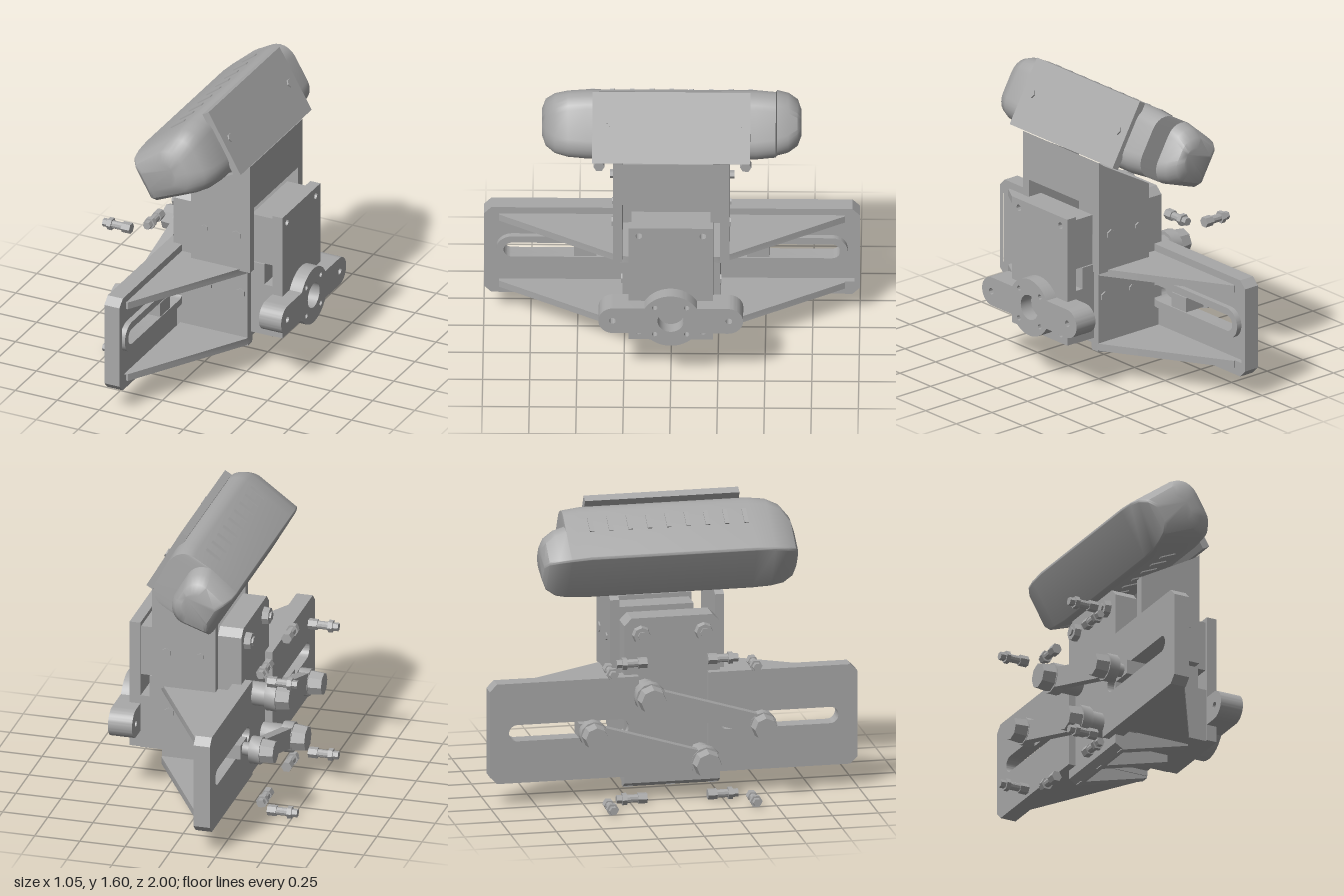
import * as THREE from 'three';
import { toCreasedNormals } from 'three/addons/utils/BufferGeometryUtils.js';

const grey = new THREE.MeshStandardMaterial({ color: 0xa8a8a8 });
grey.name = 'machine grey';

export function createModel() {
  const model = new THREE.Group();
  model.name = 'bracketAssembly';

  const add = (name, geometry, parent = model) => {
    const mesh = new THREE.Mesh(toCreasedNormals(geometry, 0.6), grey);
    mesh.name = name;
    parent.add(mesh);
    return mesh;
  };
  // Box given by its limits on each axis
  const box = (name, x0, x1, y0, y1, z0, z1, parent) => {
    const g = new THREE.BoxGeometry(x1 - x0, y1 - y0, z1 - z0);
    g.translate((x0 + x1) / 2, (y0 + y1) / 2, (z0 + z1) / 2);
    return add(name, g, parent);
  };
  const polygon = pts => new THREE.Shape(pts.map(p => new THREE.Vector2(...p)));
  const extrude = (shape, depth) => new THREE.ExtrudeGeometry(shape, { depth, bevelEnabled: false, curveSegments: 16 });
  // Outline in (x, y), pushed along z
  const alongZ = (name, pts, z0, z1) => add(name, extrude(polygon(pts), z1 - z0).translate(0, 0, z0));
  // Outline in (-z, y), pushed along x
  const alongX = (name, shape, x0, x1) => add(name, extrude(shape, x1 - x0).rotateY(Math.PI / 2).translate(x0, 0, 0));
  // Outline in (x, z), pushed up along y
  const alongY = (name, pts, y0, y1) =>
    add(name, extrude(polygon(pts.map(([x, z]) => [x, -z])), y1 - y0).rotateX(-Math.PI / 2).translate(0, y0, 0));
  const rod = (name, r0, r1, x0, x1, y, z, sides = 16, parent = model) =>
    add(name, new THREE.CylinderGeometry(r1, r0, x1 - x0, sides).rotateZ(-Math.PI / 2).translate((x0 + x1) / 2, y, z), parent);
  const chamfered = (w, y0, y1, c) => polygon([[-w + c, y0], [w - c, y0], [w, y0 + c], [w, y1 - c],
    [w - c, y1], [-w + c, y1], [-w, y1 - c], [-w, y0 + c]]);
  const circle = (a, b, r) => new THREE.Path().absarc(a, b, r, 0, Math.PI * 2, true);
  const stadium = (Type, a0, a1, b, r) => {
    const s = new Type();
    s.absarc(a1, b, r, -Math.PI / 2, Math.PI / 2, false);
    s.absarc(a0, b, r, Math.PI / 2, Math.PI * 1.5, false);
    s.closePath();
    return s;
  };

  // Wing plates either side of the core: slotted web, raised border and slot rim
  for (const s of [-1, 1]) {
    const a = [s * 0.29, s * 0.85].sort((p, q) => p - q);
    const outline = () => polygon([[0.19, 0.13], [0.96, 0.13], [1, 0.17], [1, 0.64], [0.96, 0.68], [0.19, 0.68]]
      .map(([p, y]) => [s * p, y]));
    const web = outline();
    web.holes.push(stadium(THREE.Path, ...a, 0.405, 0.045));
    alongX('wingWeb', web, -0.22, -0.16);
    const border = outline();
    border.holes.push(polygon([[0.21, 0.21], [0.97, 0.21], [0.97, 0.6], [0.21, 0.6]].map(([p, y]) => [s * p, y])));
    alongX('wingBorder', border, -0.16, -0.13);
    const rim = stadium(THREE.Shape, ...a, 0.405, 0.085);
    rim.holes.push(stadium(THREE.Path, ...a, 0.405, 0.045));
    alongX('slotRim', rim, -0.16, -0.13);
  }

  // Tapering ribs from the plates to the core
  for (const s of [-1, 1]) for (const y of [0.17, 0.6]) {
    alongY('plateRib', [[-0.14, s * 0.2], [-0.14, s * 0.92], [-0.12, s * 0.92], [0.26, s * 0.27], [0.26, s * 0.2]], y, y + 0.04);
  }

  // Central core and chamfered front block
  box('core', -0.14, 0.26, 0.2, 0.63, -0.26, 0.26);
  alongX('frontBlock', chamfered(0.26, 0.13, 0.99, 0.04), -0.18, -0.05);
  for (const z of [-0.17, 0.17]) {
    rod('blockScrew', 0.045, 0.05, -0.215, -0.18, 0.9, z, 8);
    rod('blockScrewBoss', 0.025, 0.025, -0.225, -0.2, 0.9, z, 6);
  }

  // Hollow foot: bevelled front wall with sloping side and middle ribs
  alongZ('footWall', [[-0.18, 0.21], [-0.18, 0.08], [-0.13, 0.05], [-0.11, 0.056], [-0.11, 0.21]], -0.26, 0.26);
  const footRib = [[-0.14, 0.22], [-0.14, 0.05], [0.26, 0.16], [0.26, 0.25]];
  for (const z of [-0.23, 0, 0.23]) alongZ('footRib', footRib, z - 0.025, z + 0.025);

  // Upright bracket: two cheeks and a rear web
  const cheek = [[-0.05, 0.63], [0.3, 0.63], [0.3, 1.265], [0.26, 1.235], [-0.05, 1.06]];
  alongZ('bracketCheek', cheek, 0.26, 0.31);
  alongZ('bracketCheek', cheek, -0.31, -0.26);
  alongZ('bracketWeb', [[0.26, 1], [0.3, 1], [0.3, 1.265], [0.26, 1.235]], -0.26, 0.26);
  for (const s of [-1, 1]) for (const [x, r] of [[0.03, 0.02], [0.22, 0.028]]) for (const [y, z] of [[0.84, 0.31], [0.47, 0.26]]) {
    add('sideScrew', new THREE.CylinderGeometry(r, r, 0.016, 6).rotateX(Math.PI / 2).translate(x, y, s * z));
  }

  // Rear drive unit: spacers and cover plate with corner holes
  box('lowerSpacer', 0.26, 0.39, 0.23, 0.53, -0.22, 0.22);
  box('middleSpacer', 0.26, 0.34, 0.53, 0.65, -0.22, 0.22);
  box('upperSpacer', 0.26, 0.39, 0.65, 0.93, -0.21, 0.21);
  const cover = polygon([[-0.225, 0.235], [0.225, 0.235], [0.225, 0.955], [-0.225, 0.955]]);
  for (const a of [-0.17, 0.17]) for (const y of [0.285, 0.905]) cover.holes.push(circle(a, y, 0.018));
  alongX('coverPlate', cover, 0.39, 0.45);

  // Two-armed flange with a centre bore
  const flange = new THREE.Shape();
  const join = Math.asin(0.08 / 0.16);
  flange.absarc(0.305, 0.405, 0.08, -Math.PI / 2, Math.PI / 2, false);
  flange.absarc(0, 0.405, 0.16, join, Math.PI - join, false);
  flange.absarc(-0.305, 0.405, 0.08, Math.PI / 2, Math.PI * 1.5, false);
  flange.absarc(0, 0.405, 0.16, Math.PI + join, Math.PI * 2 - join, false);
  flange.closePath();
  flange.holes.push(circle(0, 0.405, 0.07));
  for (const s of [-1, 1]) {
    flange.holes.push(circle(s * 0.31, 0.405, 0.018));
    for (const t of [-1, 1]) flange.holes.push(circle(s * 0.085, 0.405 + t * 0.085, 0.014));
  }
  alongX('flange', flange, 0.39, 0.523);

  // Crank links: pivot knob on the core, slider knob in the slot
  for (const s of [-1, 1]) {
    const ends = [[0.405 + s * 0.185, -s * 0.15, 0.084, 0.065], [0.405, s * 0.46, 0.075, 0.036]];
    ends.forEach(([y, z, r, shaft], i) => {
      rod('linkEye', r, r, -0.355, -0.295, y, z, 12);
      rod('knob', r * 0.82, r * 0.92, -0.428, -0.355, y, z, 8);
      rod('pivotShaft', shaft, shaft, -0.295, i ? -0.24 : -0.17, y, z, 12);
    });
    box('sliderFoot', -0.25, -0.13, 0.365, 0.445, s * 0.46 - 0.06, s * 0.46 + 0.06);
    const [[y0, z0], [y1, z1]] = ends;
    const bar = add('linkBar', new THREE.BoxGeometry(0.055, 0.11, Math.hypot(y1 - y0, z1 - z0)));
    bar.position.set(-0.325, (y0 + y1) / 2, (z0 + z1) / 2);
    bar.rotation.x = -Math.atan2(y1 - y0, z1 - z0);
  }

  // Loose bolts: one along x and one along z at each corner
  const bolt = () => {
    const g = new THREE.Group();
    g.name = 'bolt';
    rod('boltHead', 0.023, 0.023, -0.08, -0.05, 0, 0, 6, g);
    rod('boltCollar', 0.034, 0.034, -0.05, -0.025, 0, 0, 6, g);
    rod('boltShank', 0.022, 0.022, -0.025, 0.035, 0, 0, 10, g);
    rod('boltNut', 0.03, 0.03, 0.035, 0.085, 0, 0, 6, g);
    model.add(g);
    return g;
  };
  for (const s of [-1, 1]) for (const y of [0.032, 0.78]) {
    bolt().position.set(-0.45, y, s * 0.39);
    const cross = bolt();
    cross.position.set(-0.305, y, s * 0.25);
    cross.rotation.y = s * Math.PI / 2;
  }

  // Tilted head: backing plate and rounded pod
  const head = new THREE.Group();
  head.name = 'tiltedHead';
  head.rotation.z = Math.PI / 6;
  model.add(head);
  box('backingPlate', 0.853, 0.895, 0.95, 1.333, -0.42, 0.42, head);
  for (const z of [-0.35, 0.35]) rod('plateScrew', 0.024, 0.024, 0.87, 0.903, 1.145, z, 6, head);

  // Pod sections: z, inner limit, outer limit, half height
  const sections = [[-0.69, 0.51, 0.68, 0.07], [-0.67, 0.485, 0.71, 0.125], [-0.62, 0.465, 0.73, 0.16],
    [-0.56, 0.46, 0.74, 0.175], [-0.555, 0.46, 0.86, 0.175], [-0.45, 0.46, 0.868, 0.185], [0.45, 0.46, 0.868, 0.185],
    [0.55, 0.46, 0.86, 0.177], [0.62, 0.465, 0.83, 0.16], [0.67, 0.485, 0.765, 0.125], [0.69, 0.51, 0.7, 0.07]];
  const pos = [], index = [], steps = 6, n = 4 * (steps + 1);
  for (const [z, u0, u1, h] of sections) {
    const outer = Math.min(0.1, h * 0.75), inner = 0.015, hi = h * 0.82;
    [[u1, h, outer], [u0, hi, inner], [u0, -hi, inner], [u1, -h, outer]].forEach(([u, v, r], q) => {
      const cu = u === u1 ? u - r : u + r, cv = 1.15 + v - Math.sign(v) * r;
      for (let k = 0; k <= steps; k++) {
        const t = (q + k / steps) * Math.PI / 2;
        pos.push(cu + r * Math.cos(t), cv + r * Math.sin(t), z);
      }
    });
  }
  for (let i = 0; i < sections.length - 1; i++) for (let j = 0; j < n; j++) {
    const a = i * n + j, b = i * n + (j + 1) % n;
    index.push(a, b, a + n, b, b + n, a + n);
  }
  const last = (sections.length - 1) * n;
  for (let j = 1; j < n - 1; j++) index.push(0, j + 1, j, last, last + j, last + j + 1);
  const pod = new THREE.BufferGeometry();
  pod.setAttribute('position', new THREE.Float32BufferAttribute(pos, 3));
  pod.setIndex(index);
  add('pod', pod, head);

  // Cooling louvres on the upper and lower faces, tilted to follow the taper
  for (let i = -4; i <= 4; i++) for (const [u, v, tilt] of [[0.685, 1.327, 0.11], [0.62, 0.98, -0.11]]) {
    const louvre = add('louvre', new THREE.BoxGeometry(0.095, 0.009, 0.024), head);
    louvre.position.set(u, v, i * 0.105);
    louvre.rotation.z = tilt;
  }
  return model;
}
